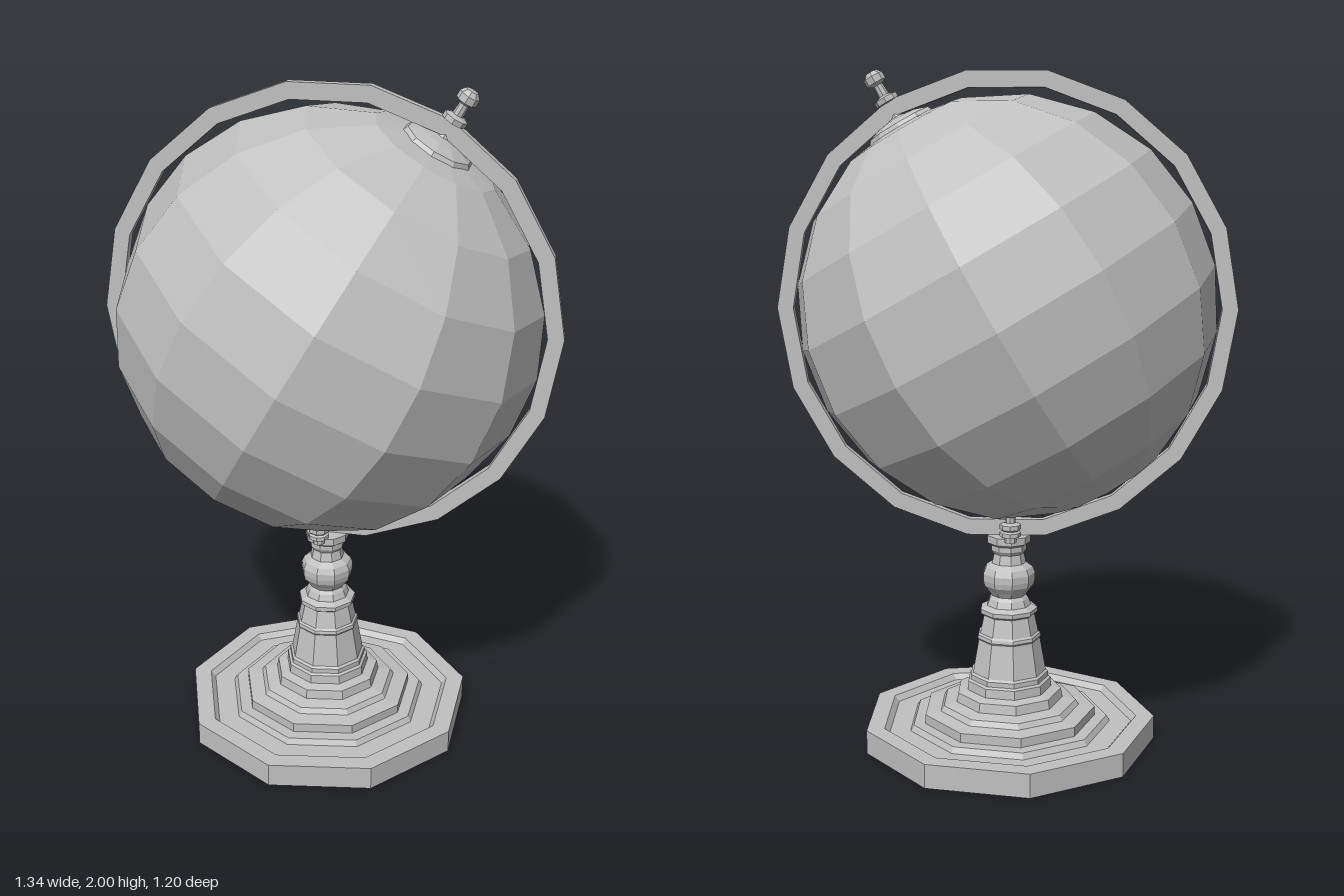
import * as THREE from 'three';

const grey = new THREE.MeshStandardMaterial({ color: 0xc0c0c0, flatShading: true, side: THREE.DoubleSide });
grey.name = 'plain grey';

const CENTRE_Y = 1.321;
const TILT = Math.PI / 6;

function addMesh(parent, name, geometry) {
  const mesh = new THREE.Mesh(geometry, grey);
  mesh.name = name;
  parent.add(mesh);
  return mesh;
}

// Faceted turned part from [radius, height] pairs, listed upwards
function turned(profile, sides, start = 0) {
  return new THREE.LatheGeometry(profile.map(([r, y]) => new THREE.Vector2(r, y)), sides, start);
}

// Regular polygon outline stretched to the given radii
function polygon(path, rx, ry, sides) {
  const pts = [];
  for (let i = 0; i < sides; i++) {
    const a = (i / sides) * Math.PI * 2;
    pts.push(new THREE.Vector2(rx * Math.cos(a), ry * Math.sin(a)));
  }
  path.setFromPoints(pts);
  path.closePath();
  return path;
}

export function createModel() {
  const model = new THREE.Group();
  model.name = 'deskGlobe';

  // Nine-sided base, open underneath, with a sunken groove and steps
  const base = addMesh(model, 'base', turned([
    [0.445, 0], [0.445, 0.072], [0.39, 0.072], [0.375, 0.055], [0.31, 0.055],
    [0.3, 0.072], [0.263, 0.072], [0.263, 0.1], [0.215, 0.106], [0.205, 0.122],
    [0.165, 0.13], [0.16, 0.158], [0.13, 0.165], [0.128, 0.192], [0.12, 0.197],
  ], 9, -Math.PI / 2));
  base.position.x = -0.006;

  // Turned post
  const post = addMesh(model, 'post', turned([
    [0.12, 0.197], [0.12, 0.212], [0.113, 0.218], [0.095, 0.32], [0.098, 0.325],
    [0.096, 0.335], [0.09, 0.34], [0.078, 0.395], [0.088, 0.402], [0.088, 0.415],
    [0.068, 0.425], [0.06, 0.445], [0.052, 0.455], [0.062, 0.47], [0.076, 0.488],
    [0.08, 0.505], [0.08, 0.525], [0.072, 0.543], [0.052, 0.556], [0.046, 0.585],
    [0.054, 0.597], [0.054, 0.612], [0.066, 0.62], [0.066, 0.642], [0, 0.642],
  ], 9, -Math.PI / 2));
  post.position.x = -0.006;

  // Pair of bolts clamping the ring to the post
  for (const side of [1, -1]) {
    const bolt = addMesh(model, side > 0 ? 'frontBolt' : 'backBolt', turned([
      [0, 0.636], [0.018, 0.636], [0.018, 0.654], [0.032, 0.656], [0.032, 0.668],
      [0.026, 0.673], [0.032, 0.678], [0.032, 0.692], [0.015, 0.697], [0.015, 0.714], [0, 0.714],
    ], 8));
    bolt.position.set(-0.014, 0, side * 0.075);
  }

  // Flat eighteen-sided meridian ring
  const ringShape = polygon(new THREE.Shape(), 0.672, 0.688, 18);
  ringShape.holes.push(polygon(new THREE.Path(), 0.625, 0.64, 18));
  const ring = addMesh(model, 'meridianRing',
    new THREE.ExtrudeGeometry(ringShape, { depth: 0.028, bevelEnabled: false }));
  ring.position.set(0, CENTRE_Y, -0.014);

  // Tilted globe with its polar cap and pin
  const globe = new THREE.Group();
  globe.name = 'tiltedGlobe';
  globe.position.y = CENTRE_Y;
  globe.rotation.z = -TILT;
  model.add(globe);

  const ball = addMesh(globe, 'globe', new THREE.SphereGeometry(0.616, 12, 10));
  ball.scale.z = 0.973;

  addMesh(globe, 'polarCap', turned([
    [0.108, 0.598], [0.1, 0.611], [0.06, 0.625], [0.02, 0.632], [0, 0.632],
  ], 10));

  addMesh(globe, 'axisPin', turned([
    [0.022, 0.628], [0.013, 0.645], [0.013, 0.678], [0.035, 0.68], [0.035, 0.695],
    [0.016, 0.702], [0.014, 0.735], [0.03, 0.743], [0.03, 0.763], [0.018, 0.776], [0, 0.778],
  ], 8));

  return model;
}
